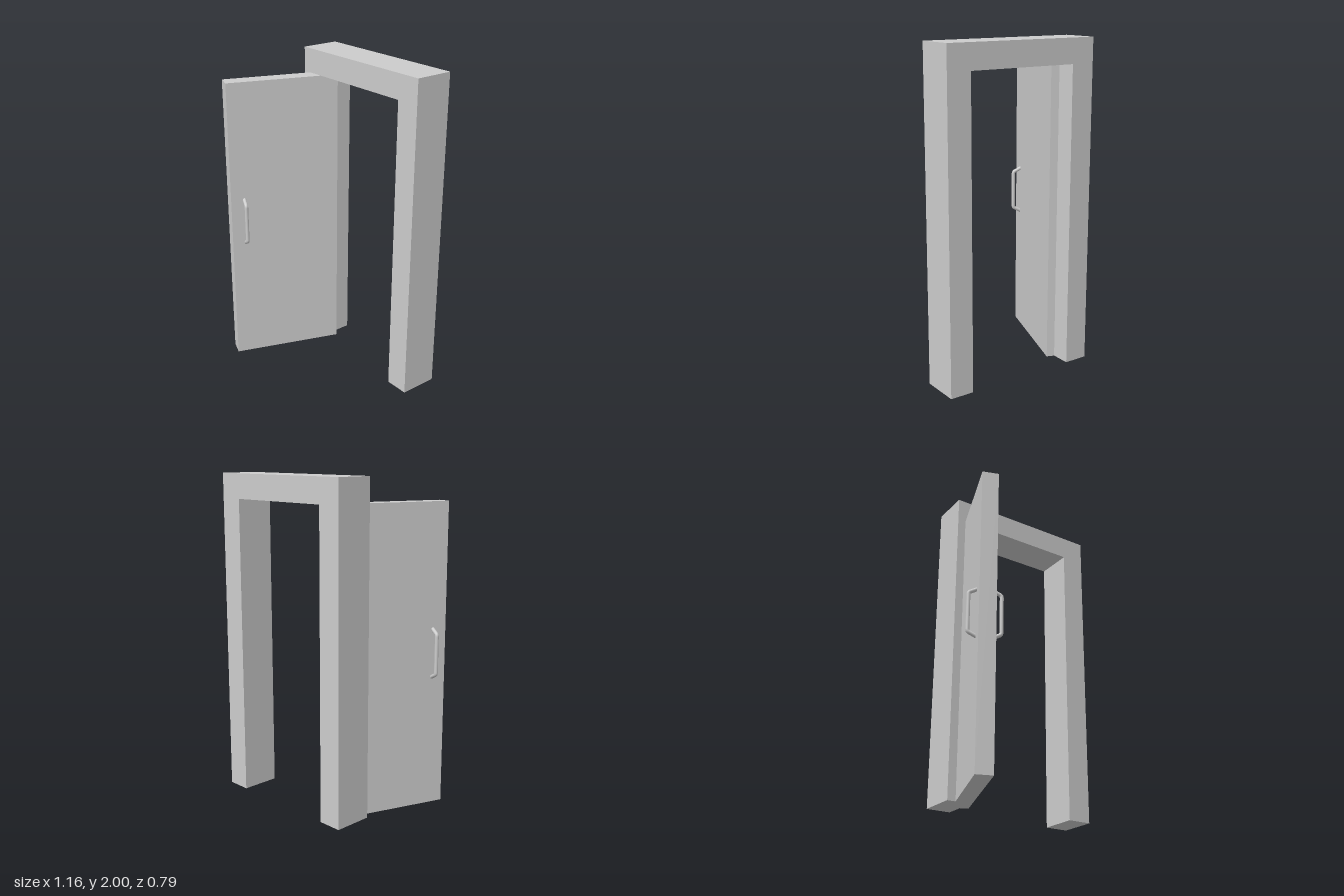
import * as THREE from 'three';

const material = new THREE.MeshStandardMaterial({ color: 0xcccccc });

function part(name, geometry) {
  const mesh = new THREE.Mesh(geometry, material);
  mesh.name = name;
  return mesh;
}

// Two posts and a lintel as one extruded arch outline
function doorFrame() {
  const outline = new THREE.Shape([
    [-0.42, 0], [-0.27, 0], [-0.27, 1.85], [0.43, 1.85],
    [0.43, 0], [0.58, 0], [0.58, 2], [-0.42, 2],
  ].map(([x, y]) => new THREE.Vector2(x, y)));
  const frame = part('doorFrame', new THREE.ExtrudeGeometry(outline, { depth: 0.24, bevelEnabled: false }));
  frame.position.z = -0.4;
  return frame;
}

// Bent bar: straight grip with a slanted leg at each end, tightly rounded bends
function handleGeometry() {
  const [a, b, c, d] = [[0.045, 0.148], [0.096, 0.122], [0.096, -0.122], [0.045, -0.148]]
    .map(([x, y]) => new THREE.Vector3(x, y, 0));
  const toward = (p, q) => p.clone().add(q.clone().sub(p).setLength(0.012));
  const path = new THREE.CurvePath();
  path.add(new THREE.LineCurve3(a, toward(b, a)));
  path.add(new THREE.QuadraticBezierCurve3(toward(b, a), b, toward(b, c)));
  path.add(new THREE.LineCurve3(toward(b, c), toward(c, b)));
  path.add(new THREE.QuadraticBezierCurve3(toward(c, b), c, toward(c, d)));
  path.add(new THREE.LineCurve3(toward(c, d), d));
  return new THREE.TubeGeometry(path, 80, 0.0115, 16);
}

// Door leaf swung open about its hinge line, with a handle on both faces
function door() {
  const group = new THREE.Group();
  group.name = 'door';
  const leaf = part('doorLeaf', new THREE.BoxGeometry(0.1, 1.85, 0.7));
  leaf.position.set(0, 0.925, 0.35);
  group.add(leaf);

  const geometry = handleGeometry();
  for (const [name, turn] of [['innerHandle', 0], ['outerHandle', Math.PI]]) {
    const handle = part(name, geometry);
    handle.position.set(0, 0.952, 0.615);
    handle.rotation.y = turn;
    group.add(handle);
  }

  group.position.set(-0.27, 0, -0.28);
  group.rotation.y = THREE.MathUtils.degToRad(-20);
  return group;
}

export function createModel() {
  const model = new THREE.Group();
  model.name = 'openDoorway';
  model.add(doorFrame(), door());
  return model;
}
